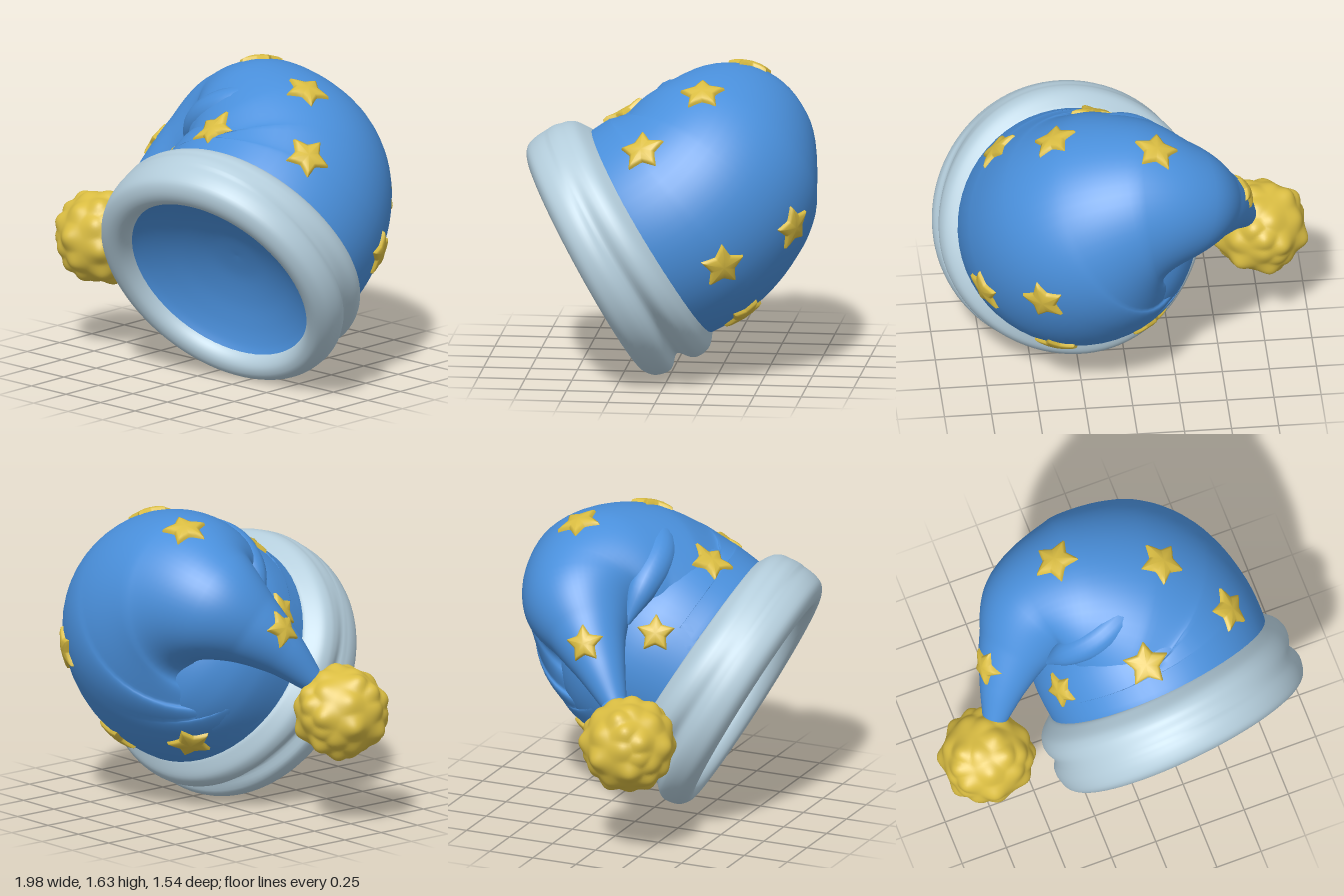
import * as THREE from 'three';
import { mergeVertices } from 'three/addons/utils/BufferGeometryUtils.js';

const V = (x, y, z) => new THREE.Vector3(x, y, z);
const mat = (name, color, side = THREE.FrontSide) => {
  const m = new THREE.MeshStandardMaterial({ color, side });
  m.name = name;
  return m;
};
const lathe = (points, steps, sides) =>
  new THREE.LatheGeometry(new THREE.SplineCurve(points.map(p => new THREE.Vector2(...p))).getPoints(steps), sides);

// Round tube with a varying radius; each stop is [x, y, z, radius]
function sweep(stops, segs, sides) {
  const path = new THREE.CatmullRomCurve3(stops.map(s => V(s[0], s[1], s[2])));
  const radii = new THREE.CatmullRomCurve3(stops.map((s, i) => V(s[3], i * 0.1, 0)));
  const { normals, binormals } = path.computeFrenetFrames(segs);
  const pos = [], idx = [], rings = [];
  for (let i = 0; i <= segs; i++) {
    const t = path.getUtoTmapping(i / segs);
    const c = path.getPoint(t), r = radii.getPoint(t).x;
    rings.push({ c, r });
    for (let j = 0; j < sides; j++) {
      const a = (j / sides) * Math.PI * 2;
      const p = c.clone().addScaledVector(normals[i], r * Math.cos(a)).addScaledVector(binormals[i], r * Math.sin(a));
      pos.push(p.x, p.y, p.z);
      if (i < segs) {
        const k = (j + 1) % sides, A = i * sides, B = A + sides;
        idx.push(A + j, A + k, B + j, A + k, B + k, B + j);
      }
    }
  }
  const g = new THREE.BufferGeometry();
  g.setAttribute('position', new THREE.Float32BufferAttribute(pos, 3));
  g.setIndex(idx);
  g.computeVertexNormals();
  return { g, rings };
}

// Puffed five-pointed star draped over the cloth near a point
function starGeometry(targets, rings, p, size, spin) {
  let best = rings[0];
  for (const k of rings) if (p.distanceTo(k.c) - k.r < p.distanceTo(best.c) - best.r) best = k;
  const n = p.clone().sub(best.c).normalize();
  const e = V(0, 1, 0).cross(n).normalize(), f = n.clone().cross(e);
  const ray = new THREE.Raycaster();
  const outline = [];
  for (let i = 0; i < 10; i++) {
    const at = k => {
      const a = spin + Math.PI / 2 + (k * Math.PI) / 5, r = size * (k % 2 ? 0.55 : 1);
      return [r * Math.cos(a), r * Math.sin(a)];
    };
    const a = at(i), b = at(i + 1);
    for (const t of [0.06, 0.5, 0.94]) outline.push([a[0] + (b[0] - a[0]) * t, a[1] + (b[1] - a[1]) * t]);
  }
  const N = outline.length, pos = [], idx = [];
  const steps = [[0, 0.026], [0.4, 0.024], [0.75, 0.02], [0.93, 0.014], [1, -0.012]];
  steps.forEach(([s, h], k) => outline.forEach((o, j) => {
    const q = p.clone().addScaledVector(e, o[0] * s).addScaledVector(f, o[1] * s);
    ray.set(q.clone().addScaledVector(n, 0.15), n.clone().negate());
    const hit = ray.intersectObjects(targets)[0];
    const d = hit && hit.distance < 0.35 ? hit.point : q;
    d.addScaledVector(n, h);
    pos.push(d.x, d.y, d.z);
    if (k) {
      const A = (k - 1) * N, B = k * N, m = (j + 1) % N;
      if (k > 1) idx.push(A + j, B + m, A + m);
      idx.push(A + j, B + j, B + m);
    }
  }));
  const g = new THREE.BufferGeometry();
  g.setAttribute('position', new THREE.Float32BufferAttribute(pos, 3));
  g.setIndex(idx);
  const m = mergeVertices(g, 1e-5);
  m.computeVertexNormals();
  return m;
}

export function createModel() {
  const blue = mat('blue cloth', 0x4a90dc, THREE.DoubleSide);
  const white = mat('pale trim', 0xb4cddb);
  const gold = mat('gold', 0xdabd42);
  const model = new THREE.Group();
  const add = (name, g, m, parent = model) => {
    const mesh = new THREE.Mesh(g, m);
    mesh.name = name;
    parent.add(mesh);
    return mesh;
  };

  // Opening frame: local y runs into the hat, local z points to the top of the brim
  const head = new THREE.Group();
  head.name = 'opening';
  head.position.set(0.287, 0.61, 0.39);
  head.quaternion.setFromUnitVectors(V(0, 1, 0), V(-0.13, 0.484, -0.865).normalize());
  model.add(head);

  // Rolled brim with a groove that fades towards the top
  const brim = lathe([[0.54, 0.1], [0.535, 0.02], [0.55, -0.03], [0.585, -0.062], [0.64, -0.065], [0.692, -0.03],
    [0.713, 0.03], [0.717, 0.09], [0.717, 0.14], [0.719, 0.2], [0.719, 0.25], [0.7, 0.3], [0.65, 0.338], [0.59, 0.36],
    [0.55, 0.3], [0.54, 0.1]], 60, 96);
  const bp = brim.attributes.position;
  for (let i = 0; i < bp.count; i++) {
    const x = bp.getX(i), t = bp.getY(i), z = bp.getZ(i), r = Math.hypot(x, z), a = Math.atan2(x, z);
    const outer = THREE.MathUtils.smoothstep(r, 0.6, 0.69), up = z / r;
    const mid = 0.14 + 0.012 * Math.sin(3 * a + 1);
    const dip = Math.exp(-(((t - mid) / 0.045) ** 2)) * (0.033 * (1 - up) - 0.004 * (1 + up));
    const back = THREE.MathUtils.smoothstep(t, 0.08, 0.34);
    const k = 1 + (outer * (0.006 * Math.sin(4 * a) * (t > 0.1 ? 1 : 0.3) - dip - 0.01 * back * (1 + up))) / r;
    bp.setXYZ(i, x * k, t - 0.025 * back * (1 + up), z * k + outer * 0.014);
  }
  const brimGeo = mergeVertices(brim.deleteAttribute('uv').deleteAttribute('normal'), 1e-4);
  brimGeo.computeVertexNormals();
  add('brim', brimGeo, white, head);

  // Inner lining, a shallow dome
  add('lining', lathe([[0, 0.19], [0.15, 0.18], [0.3, 0.142], [0.42, 0.09], [0.5, 0.042], [0.542, 0.005]], 24, 64), blue, head);

  // Straight crown of the cap, the cloth under the bend
  const crown = add('crown', lathe([[0.59, 0.2], [0.605, 0.33], [0.612, 0.48], [0.6, 0.6], [0.555, 0.73], [0.46, 0.86],
    [0.3, 0.96], [0, 1.01]], 32, 64), blue, head);

  // Cap that bends over into a drooping tail
  const cap = sweep([[0.27, 0.70, 0.217, 0.59], [0.26, 0.765, 0.105, 0.62], [0.235, 0.87, -0.06, 0.625], [0.18, 0.99, -0.18, 0.6],
    [0.065, 1.1, -0.24, 0.55], [-0.11, 1.18, -0.285, 0.45], [-0.28, 1.175, -0.285, 0.325], [-0.435, 1.075, -0.18, 0.21],
    [-0.55, 0.95, -0.06, 0.135], [-0.645, 0.8, 0.06, 0.07]], 90, 56);
  const capMesh = add('cap', cap.g, blue);

  // Fold of cloth where the tail turns over
  const fold = sweep([[-0.32, 1.13, -0.02, 0.02], [-0.2, 1.3, 0.02, 0.085], [-0.04, 1.41, 0.03, 0.1],
    [0.12, 1.465, -0.03, 0.09], [0.26, 1.47, -0.13, 0.06], [0.38, 1.42, -0.22, 0.01]], 30, 20);
  const foldMesh = add('fold', fold.g, blue);

  // Stars: x, y, z, spin, size
  const stars = new THREE.Group();
  stars.name = 'stars';
  model.add(stars);
  model.updateMatrixWorld(true);
  const axis = [{ c: V(0.227, 0.842, -0.04), r: 0.61 }];
  [[0.13, 1.38, 0.27, 0.1], [0.67, 1.3, 0.11, 0.3], [0.39, 1.55, -0.18, 0.2], [-0.32, 1.1, 0.15, 0, 0.11],
    [-0.63, 1.1, -0.12, 0.2, 0.11], [-0.14, 1.6, -0.38, 0.5], [0.82, 0.69, -0.36, 0.1], [0.47, 0.87, -0.64, 0.3],
    [0.39, 0.37, -0.4, 0.2], [-0.06, 0.46, -0.28, 0.4]].forEach(([x, y, z, spin, size = 0.132]) =>
    add('star', starGeometry([crown, capMesh, foldMesh], z > 0 ? axis : cap.rings, V(x, y, z), size, spin), gold, stars));

  // Lumpy pompom: a ball raised around evenly spread tufts
  const tufts = Array.from({ length: 44 }, (_, i) => {
    const y = 1 - (2 * (i + 0.5)) / 44, r = Math.sqrt(1 - y * y), a = i * 2.39996 + 0.25 * Math.sin(i * 7.3);
    return V(r * Math.cos(a), y, r * Math.sin(a));
  });
  const ball = mergeVertices(new THREE.IcosahedronGeometry(1, 20).deleteAttribute('uv').deleteAttribute('normal'), 1e-4);
  const pp = ball.attributes.position, v = V(0, 0, 0);
  for (let i = 0; i < pp.count; i++) {
    v.fromBufferAttribute(pp, i).normalize();
    let h = 0;
    tufts.forEach((t, k) => { h = Math.max(h, (0.75 + 0.25 * Math.sin(k * 5.1)) * Math.exp(-t.distanceToSquared(v) / 0.05)); });
    v.multiplyScalar(0.234 + 0.034 * h);
    pp.setXYZ(i, v.x, v.y, v.z);
  }
  ball.computeVertexNormals();
  add('pompom', ball, gold).position.set(-0.742, 0.62, 0.19);

  return model;
}
